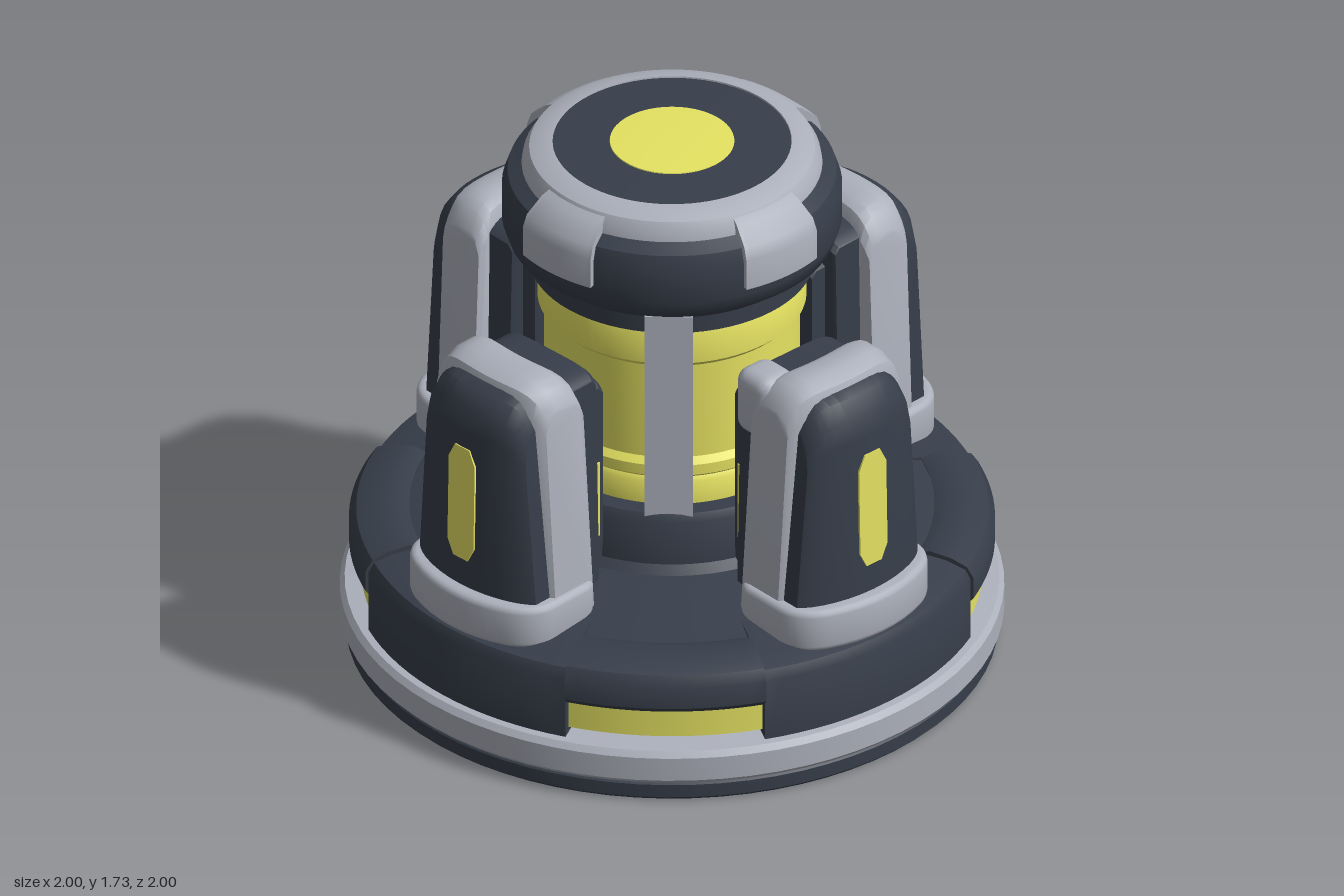
import * as THREE from 'three';
import { toCreasedNormals } from 'three/addons/utils/BufferGeometryUtils.js';
import { RoundedBoxGeometry } from 'three/addons/geometries/RoundedBoxGeometry.js';

const mat = (name, color) => {
  const m = new THREE.MeshStandardMaterial({ color });
  m.name = name;
  return m;
};

export function createModel() {
  const dark = mat('dark slate', 0x373e4a);
  const grey = mat('light grey', 0xadb1bc);
  const yellow = mat('glow yellow', 0xe6e362);
  const model = new THREE.Group();
  model.name = 'reactorTower';

  const add = (parent, name, geo, material) => {
    const m = new THREE.Mesh(toCreasedNormals(geo, 0.6), material);
    m.name = name;
    parent.add(m);
    return m;
  };
  const points = (p) => p.map(([x, y]) => new THREE.Vector2(x, y));
  const lathe = (name, p, material) =>
    add(model, name, new THREE.LatheGeometry(points(p), 72), material);

  // Extrudes a closed profile over t = 1..-1 and moves each vertex by a rule
  const shaped = (p, rule) => {
    const g = new THREE.ExtrudeGeometry(new THREE.Shape(points(p)), {
      depth: 2, steps: 16, bevelEnabled: false });
    const pos = g.attributes.position;
    for (let i = 0; i < pos.count; i++)
      pos.setXYZ(i, ...rule(pos.getX(i), pos.getY(i), 1 - pos.getZ(i)));
    return g;
  };

  // Sweeps a (radius, height) profile around the y axis, centred on +z
  const sector = (p, half) => shaped(p, (r, y, t) =>
    [r * Math.sin(t * half), y, r * Math.cos(t * half)]);

  // Sweeps a (z, height) profile sideways: tapered, round-shouldered, curved back at the ends
  const slab = (p, w0, w1, { shoulder = 0, bend = 0, lean = 0 } = {}) => {
    const zs = p.map((q) => q[0]), ys = p.map((q) => q[1]);
    const zc = (Math.min(...zs) + Math.max(...zs)) / 2;
    const y0 = Math.min(...ys), y1 = Math.max(...ys);
    return shaped(p, (z, y, t) => {
      const u = Math.sin(t * Math.PI / 2);
      const f = (y - y0) / (y1 - y0);
      const x = u * (w0 + (w1 - w0) * f);
      const h = y - shoulder * f * u ** 6;
      return [x, h, zc + (z - zc) * (1 - 0.14 * u ** 8) - bend * x * x - lean * (h - y0)];
    });
  };

  // Thin light plate with chamfered ends, leaning with the pod panel
  const slot = (w, y0, y1, z, lean) => {
    const c = 0.025;
    const g = new THREE.ExtrudeGeometry(new THREE.Shape(points([
      [-w + c, y0], [w - c, y0], [w, y0 + c * 2], [w, y1 - c * 2],
      [w - c, y1], [-w + c, y1], [-w, y1 - c * 2], [-w, y0 + c * 2]])),
    { depth: 0.008, bevelEnabled: false });
    const pos = g.attributes.position;
    for (let i = 0; i < pos.count; i++)
      pos.setZ(i, pos.getZ(i) + z - lean * (pos.getY(i) - 0.5));
    return g;
  };

  // Pod collar: rounded footprint with a curved outer edge
  const collarGeometry = () => {
    const s = new THREE.Shape();
    s.moveTo(-0.22, 0.61);
    s.lineTo(0.22, 0.61);
    s.quadraticCurveTo(0.262, 0.61, 0.262, 0.65);
    s.lineTo(0.262, 0.79);
    s.quadraticCurveTo(0.255, 0.86, 0.18, 0.892);
    s.quadraticCurveTo(0, 0.965, -0.18, 0.892);
    s.quadraticCurveTo(-0.255, 0.86, -0.262, 0.79);
    s.lineTo(-0.262, 0.65);
    s.quadraticCurveTo(-0.262, 0.61, -0.22, 0.61);
    const g = new THREE.ExtrudeGeometry(s, { depth: 0.1, curveSegments: 8,
      bevelSize: 0.02, bevelThickness: 0.02, bevelSegments: 3 });
    return g.rotateX(Math.PI / 2).translate(0, 0.537, 0);
  };

  // Base
  lathe('footDisc', [[0, 0], [0.97, 0], [0.982, 0.012], [0.982, 0.055], [0.97, 0.068], [0, 0.068]], dark);
  lathe('baseRing', [[0.94, 0.065], [0.985, 0.066], [1, 0.082], [1, 0.16], [0.985, 0.178], [0.9, 0.185]], grey);
  lathe('baseBody', [[0.91, 0.17], [0.91, 0.39], [0.87, 0.42], [0.78, 0.435], [0.56, 0.485],
    [0.5, 0.495], [0.475, 0.52], [0.465, 0.66], [0.45, 0.685], [0, 0.685]], dark);

  // Core column
  lathe('coreColumn', [[0.395, 0.68], [0.395, 0.76], [0.385, 0.775], [0.403, 0.79], [0.403, 0.825], [0.385, 0.845],
    [0.385, 1.17], [0.405, 1.19], [0.405, 1.285], [0.385, 1.33]], yellow);
  lathe('neckRing', [[0.36, 1.315], [0.43, 1.315], [0.43, 1.39], [0.36, 1.39]], dark);

  // Head
  lathe('head', [[0, 1.37], [0.43, 1.37], [0.495, 1.42], [0.512, 1.47], [0.512, 1.58], [0.495, 1.63],
    [0.44, 1.66], [0.38, 1.7], [0.36, 1.725], [0.3, 1.728], [0, 1.728]], dark);
  lathe('headCapRing', [[0.455, 1.64], [0.448, 1.68], [0.43, 1.71], [0.39, 1.726], [0.36, 1.73], [0.355, 1.7]], grey);
  lathe('topLight', [[0.19, 1.72], [0.187, 1.731], [0.1, 1.734], [0, 1.734]], yellow);

  for (let k = 0; k < 4; k++) {
    // Side bay: light strip under a raised lip, a little wider on the flanks
    const bay = new THREE.Group();
    bay.name = 'sideBay';
    bay.rotation.y = k * Math.PI / 2;
    model.add(bay);
    const bayHalf = k % 2 === 0 ? 0.318 : 0.344;
    add(bay, 'baseLight', sector([[0.9, 0.2], [0.935, 0.2], [0.935, 0.31], [0.9, 0.31]], bayHalf), yellow);
    add(bay, 'bayLip', sector([[0.8, 0.4], [0.89, 0.3], [0.955, 0.3], [0.972, 0.32], [0.972, 0.39],
      [0.95, 0.425], [0.9, 0.445], [0.83, 0.455], [0.79, 0.44]], bayHalf), dark);

    // Grey struts at front and back
    if (k % 2 === 0) {
      const strut = add(bay, 'strut', new THREE.BoxGeometry(0.145, 0.71, 0.03), grey);
      strut.position.set(0, 1.03, 0.435);
    }

    // Diagonal corner, turned slightly towards the front or back: base block, pod and head tab
    const turn = k % 2 === 0 ? 1 : -1;
    const corner = new THREE.Group();
    corner.name = 'corner';
    corner.rotation.y = (k + 0.5) * Math.PI / 2 - turn * 0.026;
    model.add(corner);
    const block = add(corner, 'baseBlock', sector([[0.6, 0.3], [0.85, 0.18], [0.962, 0.18], [0.962, 0.385],
      [0.945, 0.415], [0.88, 0.435], [0.6, 0.46]], 0.455), dark);
    block.rotation.y = turn * 0.013;
    add(corner, 'podCollar', collarGeometry(), grey);
    add(corner, 'podArch', slab([[0.63, 0.45], [0.815, 0.45], [0.815, 1.2], [0.795, 1.25], [0.75, 1.273],
      [0.68, 1.273], [0.65, 1.255], [0.63, 1.21]], 0.266, 0.228, { shoulder: 0.09, bend: 0.6 }), grey);
    add(corner, 'podPanel', slab([[0.7, 0.5], [0.905, 0.5], [0.905, 1.1], [0.893, 1.17], [0.855, 1.22],
      [0.8, 1.238], [0.7, 1.238]], 0.25, 0.2, { shoulder: 0.09, bend: 1, lean: 0.02 }), dark);
    add(corner, 'podLight', slot(0.055, 0.65, 1.04, 0.9, 0.02), yellow);
    add(corner, 'podInnerStep', slab([[0.5, 0.45], [0.67, 0.45], [0.67, 1.22], [0.52, 1.22], [0.5, 1.2]],
      0.2, 0.185, { shoulder: 0.03 }), dark);
    add(corner, 'podInnerBlock', slab([[0.44, 0.45], [0.54, 0.45], [0.54, 1.15], [0.46, 1.15], [0.44, 1.13]],
      0.15, 0.15, { shoulder: 0.03 }), dark);
    for (const side of [-1, 1]) {
      const glow = add(corner, 'podSideLight', new THREE.BoxGeometry(0.008, 0.26, 0.025), yellow);
      glow.position.set(side * 0.15, 0.73, 0.475);
    }
    // Arch hooks on the two left-hand pods
    if (k < 2) {
      const hook = add(corner, 'archHook', new RoundedBoxGeometry(0.14, 0.22, 0.15, 3, 0.045), grey);
      hook.position.set(-turn * 0.155, 1.15, 0.59);
    }
    const tab = add(corner, 'headTab', sector([[0.42, 1.6], [0.48, 1.5], [0.529, 1.5], [0.529, 1.6], [0.515, 1.64],
      [0.46, 1.69], [0.42, 1.708]], 0.265), grey);
    tab.rotation.y = -turn * 0.035;
  }
  return model;
}
